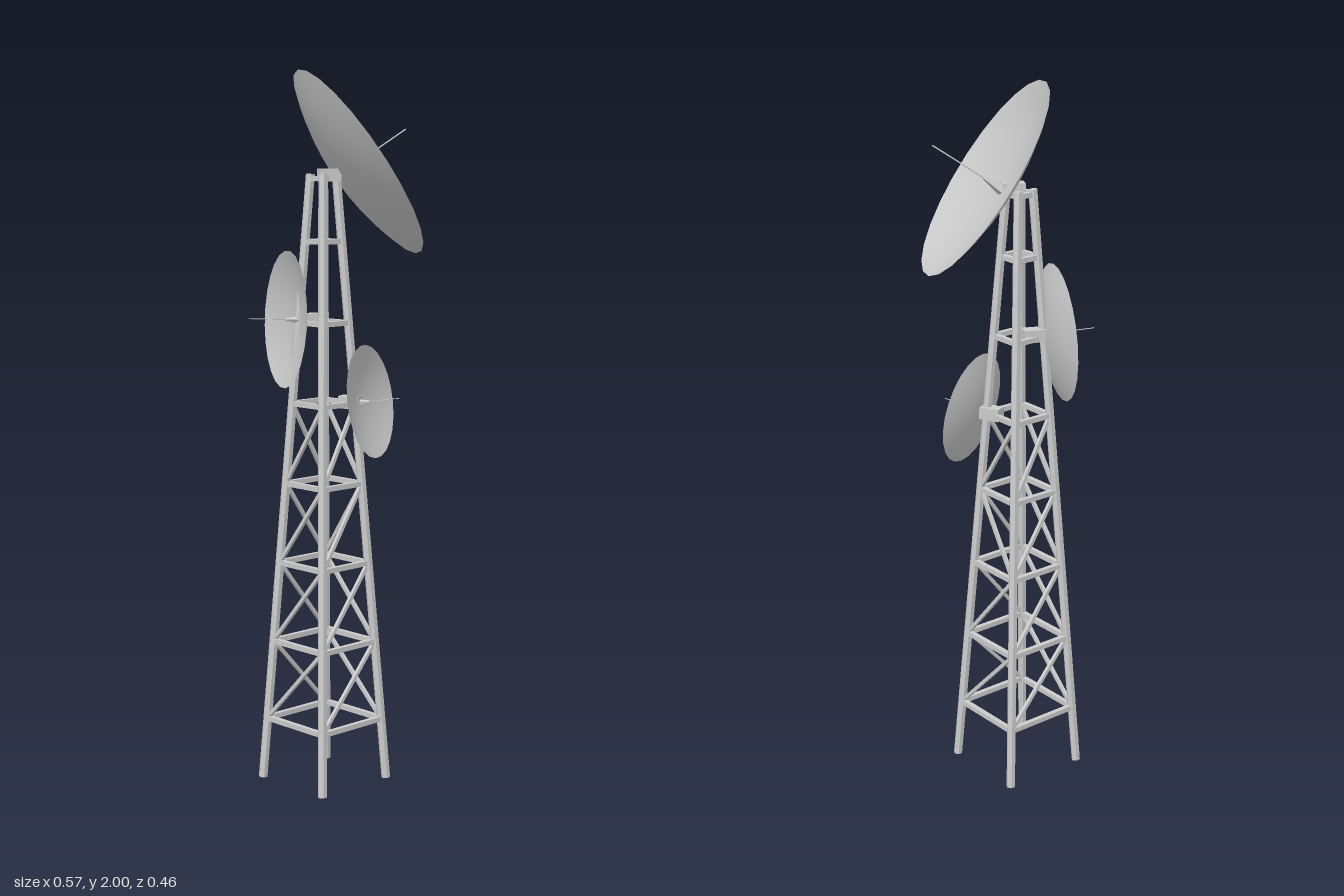
import * as THREE from 'three';

const UP = new THREE.Vector3(0, 1, 0);
const V = (x, y, z) => new THREE.Vector3(x, y, z);

export function createModel() {
  const model = new THREE.Group();
  const metal = new THREE.MeshStandardMaterial({ color: 0xcccccc, flatShading: true });
  const shell = new THREE.MeshStandardMaterial({ color: 0xcccccc, side: THREE.DoubleSide });

  function add(parent, name, geometry, material = metal) {
    const mesh = new THREE.Mesh(geometry, material);
    mesh.name = name;
    parent.add(mesh);
    return mesh;
  }

  // Straight bar between two points
  function bar(parent, name, a, b, radius, sides = 4) {
    const geo = new THREE.CylinderGeometry(radius, radius, a.distanceTo(b), sides);
    if (sides === 4) geo.rotateY(Math.PI / 4);
    const mesh = add(parent, name, geo);
    mesh.position.copy(a).lerp(b, 0.5);
    mesh.quaternion.setFromUnitVectors(UP, b.clone().sub(a).normalize());
  }

  // Tapered lattice tower
  const tower = new THREE.Group();
  tower.name = 'tower';
  tower.position.set(-0.049, 0, 0.049);
  model.add(tower);
  const height = 1.72;
  const corners = [[-1, 1], [1, 1], [1, -1], [-1, -1]];
  const cornerAt = (i, y) => {
    const half = 0.125 - 0.1 * y / height;
    const [sx, sz] = corners[i % 4];
    return V(sx * half, y, sz * half);
  };
  const levels = [0.175, 0.402, 0.63, 0.857, 1.084, 1.31, 1.535, 1.707];
  for (let i = 0; i < 4; i++) {
    bar(tower, 'leg', cornerAt(i, 0), cornerAt(i, height), 0.013, 6);
    levels.forEach((y, k) => {
      bar(tower, 'rung', cornerAt(i, y), cornerAt(i + 1, y), 0.01);
      // Diagonals brace the lower four bays
      if (k < 4) {
        const flip = k === 2 && i === 2;
        const from = flip ? i + 1 : i, to = flip ? i : i + 1;
        bar(tower, 'diagonalBrace', cornerAt(from, y), cornerAt(to, levels[k + 1]), 0.007);
      }
    });
  }

  // Parabolic dish of rim radius r, facing dir, with its rim centred on centre
  function dish(name, centre, dir, r) {
    const group = new THREE.Group();
    group.name = name;
    const n = dir.clone().normalize();
    const depth = 0.2 * r;
    const vertex = centre.clone().addScaledVector(n, -depth);
    group.position.copy(vertex);
    model.add(group);

    const aim = new THREE.Group();
    aim.name = 'reflectorAssembly';
    aim.quaternion.setFromUnitVectors(UP, n);
    group.add(aim);

    const profile = [];
    for (let i = 0; i <= 8; i++) {
      const t = i / 8;
      profile.push(new THREE.Vector2(r * t, depth * t * t));
    }
    add(aim, 'reflector', new THREE.LatheGeometry(profile, 24), shell);

    // Feed horn and thin rod along the axis
    const horn = add(aim, 'feedHorn', new THREE.CylinderGeometry(0.014 * r, 0.06 * r, 0.2 * r, 5));
    horn.position.y = 0.1 * r;
    const rod = add(aim, 'feedRod', new THREE.CylinderGeometry(0.007 * r, 0.007 * r, 0.6 * r, 6));
    rod.position.y = 0.45 * r;

    // Level mounting block between reflector and tower
    const flat = V(n.x, 0, n.z).normalize();
    const mount = add(group, 'mount', new THREE.BoxGeometry(0.035, 0.035, 0.06));
    mount.position.copy(flat).multiplyScalar(-0.03);
    mount.rotation.y = Math.atan2(n.x, n.z);
  }

  dish('topDish', V(0.01, 1.75, -0.025), V(0.4, 0.553, -0.73), 0.3);
  dish('frontDish', V(-0.113, 1.32, 0.135), V(-0.41, 0.05, 0.91), 0.191);
  dish('sideDish', V(0.055, 1.092, -0.033), V(0.91, 0.15, -0.38), 0.159);

  return model;
}
